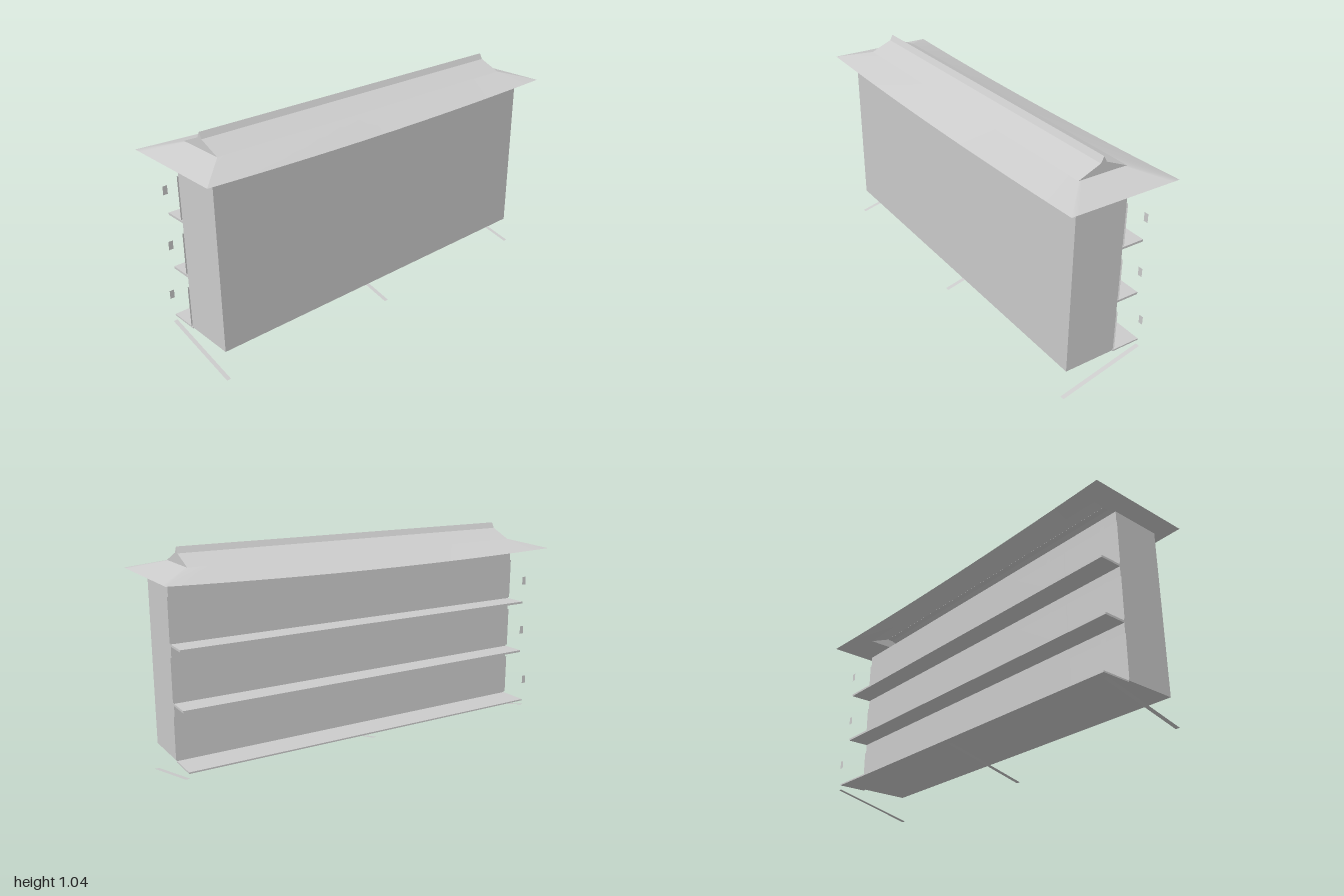
import * as THREE from 'three';

const grey = new THREE.MeshStandardMaterial({ color: 0xcccccc });
const thin = new THREE.MeshStandardMaterial({ color: 0xcccccc, side: THREE.DoubleSide });

function add(parent, name, geometry, material = grey) {
  const mesh = new THREE.Mesh(geometry, material);
  mesh.name = name;
  parent.add(mesh);
  return mesh;
}

// box given by its limits on each axis
function box(parent, name, [x0, x1], [y0, y1], [z0, z1]) {
  const mesh = add(parent, name, new THREE.BoxGeometry(x1 - x0, y1 - y0, z1 - z0));
  mesh.position.set((x0 + x1) / 2, (y0 + y1) / 2, (z0 + z1) / 2);
  return mesh;
}

// upright or slanted sheet between rows of points of equal length
function sheet(rows) {
  const n = rows[0].length;
  const index = [];
  for (let r = 0; r < rows.length - 1; r++) {
    for (let i = 0; i < n - 1; i++) {
      const a = r * n + i;
      index.push(a, a + n, a + 1, a + 1, a + n, a + n + 1);
    }
  }
  const g = new THREE.BufferGeometry();
  g.setAttribute('position', new THREE.Float32BufferAttribute(rows.flat(2), 3));
  g.setIndex(index);
  g.computeVertexNormals();
  return g;
}

// points around a rectangle; the long sides sag towards the middle
function ring(hx, hz, y, sag) {
  const points = [];
  const n = 16;
  const corners = [[-1, 1], [1, 1], [1, -1], [-1, -1]];
  corners.forEach(([ax, az], k) => {
    const [bx, bz] = corners[(k + 1) % 4];
    for (let i = 0; i < n; i++) {
      const t = i / n;
      const u = ax + (bx - ax) * t;
      const v = az + (bz - az) * t;
      const drop = ax !== bx ? sag * (1 - u * u) : 0;
      points.push([u * hx, y - drop, v * hz]);
    }
  });
  points.push(points[0]);
  return points;
}

function createRoof() {
  const roof = new THREE.Group();
  roof.name = 'roof';
  const gx = 0.855, kneeY = 0.973, kneeZ = 0.12;

  // flared skirt with sagging eaves
  add(roof, 'roofSkirt', sheet([ring(gx, kneeZ, kneeY, 0), ring(1, 0.265, 0.932, 0.017)]), thin);

  for (const s of [1, -1]) {
    // upper slope
    add(roof, 'upperSlope', sheet([
      [[-gx * s, 1.024, 0], [gx * s, 1.024, 0]],
      [[-gx * s, kneeY, kneeZ * s], [gx * s, kneeY, kneeZ * s]],
    ]), thin);
    // gable triangle
    const gable = new THREE.Shape([
      new THREE.Vector2(-kneeZ, kneeY), new THREE.Vector2(kneeZ, kneeY), new THREE.Vector2(0, 1.024),
    ]);
    const mesh = add(roof, 'gable', new THREE.ShapeGeometry(gable), thin);
    mesh.rotation.y = s * Math.PI / 2;
    mesh.position.x = s * gx;
  }

  // ridge cap
  const cap = new THREE.Shape([
    new THREE.Vector2(-0.015, 1.017), new THREE.Vector2(0.015, 1.017), new THREE.Vector2(0, 1.045),
  ]);
  const ridge = add(roof, 'ridgeCap', new THREE.ExtrudeGeometry(cap, { depth: 2 * gx, bevelEnabled: false }));
  ridge.rotation.y = Math.PI / 2;
  ridge.position.x = -gx;
  return roof;
}

export function createModel() {
  const model = new THREE.Group();
  model.name = 'shelvedCabinet';
  model.add(createRoof());

  box(model, 'body', [-0.925, 0.925], [0.13, 0.91], [-0.07, 0.182]);

  const pitch = 0.311;
  const levels = [
    { y: 0.13, thick: 0.007, edge: -0.213, tagZ: -0.21 },
    { y: 0.39, thick: 0.01, edge: -0.18, tagZ: -0.175 },
    { y: 0.65, thick: 0.01, edge: -0.18, tagZ: -0.175 },
  ];
  for (const { y, thick, edge, tagZ } of levels) {
    box(model, 'shelf', [-0.925, 0.925], [y - thick, y], [edge, -0.07]);

    // six thin panels on the back wall
    for (let i = 0; i < 6; i++) {
      const panel = add(model, 'backPanel', new THREE.PlaneGeometry(pitch - 0.006, 0.196), thin);
      panel.position.set((i - 2.5) * pitch, y + 0.104, -0.073);
    }
    // small tags along the shelf edge
    for (let i = -3; i <= 3; i++) {
      const tag = add(model, 'shelfTag', new THREE.PlaneGeometry(0.022, 0.04), thin);
      tag.position.set(i * pitch, y + 0.108, tagZ);
    }
  }

  // flat slanted foot strips, rising towards the back
  for (const x of [-0.93, 0, 0.93]) {
    add(model, 'footStrip', sheet([
      [[x - 0.01, 0.1, -0.21], [x + 0.01, 0.1, -0.21]],
      [[x - 0.01, 0, 0.2], [x + 0.01, 0, 0.2]],
    ]), thin);
  }
  return model;
}
